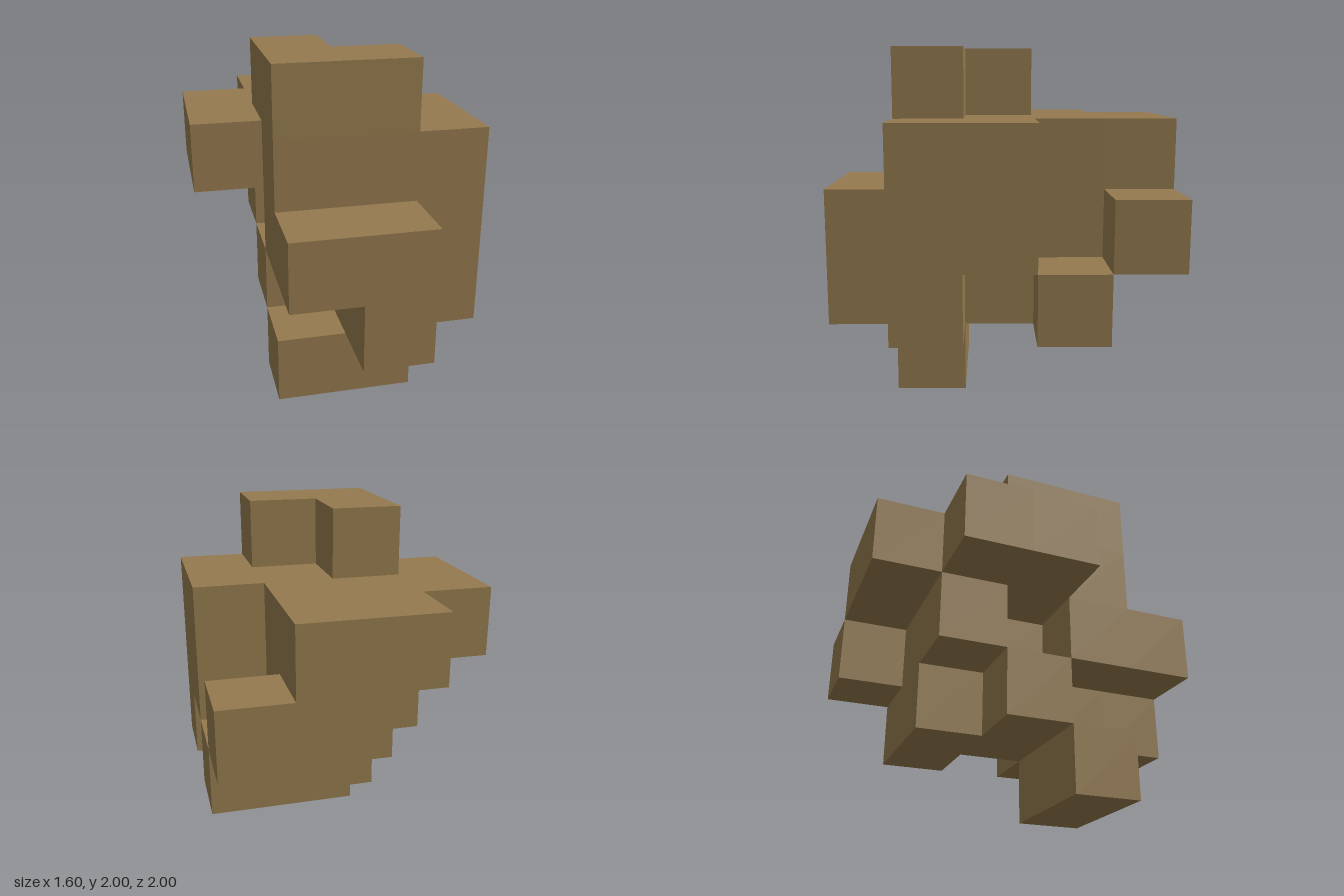
import * as THREE from 'three';
import { mergeGeometries } from 'three/addons/utils/BufferGeometryUtils.js';

const CELL = 0.4;

// Layers from bottom to top; rows run back to front, characters along +x
const LAYERS = [
  { name: 'footBlock', rows: ['....', '....', '....', '.##.', '....'] },
  { name: 'lowerBlocks', rows: ['....', '..##', '.##.', '..##', '..#.'] },
  { name: 'middleBlocks', rows: ['...#', '.##.', '..##', '.###', '.##.'] },
  { name: 'upperBlocks', rows: ['.##.', '###.', '####', '.###', '....'] },
  { name: 'topBlocks', rows: ['....', '....', '.#..', '.##.', '....'] },
];

// Outward directions of the six cube faces
const SIDES = [[1, 0, 0], [-1, 0, 0], [0, 1, 0], [0, -1, 0], [0, 0, 1], [0, 0, -1]];

const filled = (x, y, z) => LAYERS[y]?.rows[z]?.[x] === '#';

// One square face of a cell, turned to point outward
function cellFace(x, y, z, [dx, dy, dz]) {
  const face = new THREE.PlaneGeometry(CELL, CELL);
  face.translate(0, 0, CELL / 2);
  if (dy) face.rotateX(-dy * Math.PI / 2);
  else face.rotateY(Math.atan2(dx, dz));
  return face.translate((x - 1.5) * CELL, (y + 0.5) * CELL, (z - 2) * CELL);
}

export function createModel() {
  const group = new THREE.Group();
  group.name = 'blockCluster';
  const brown = new THREE.MeshStandardMaterial({ name: 'brown', color: 0x947a4e });

  // Each layer keeps only the faces that are not covered by a neighbour
  LAYERS.forEach(({ name, rows }, y) => {
    const faces = [];
    rows.forEach((row, z) => {
      for (let x = 0; x < row.length; x++) {
        if (!filled(x, y, z)) continue;
        for (const d of SIDES) {
          if (!filled(x + d[0], y + d[1], z + d[2])) faces.push(cellFace(x, y, z, d));
        }
      }
    });
    const mesh = new THREE.Mesh(mergeGeometries(faces), brown);
    mesh.name = name;
    group.add(mesh);
  });
  return group;
}
